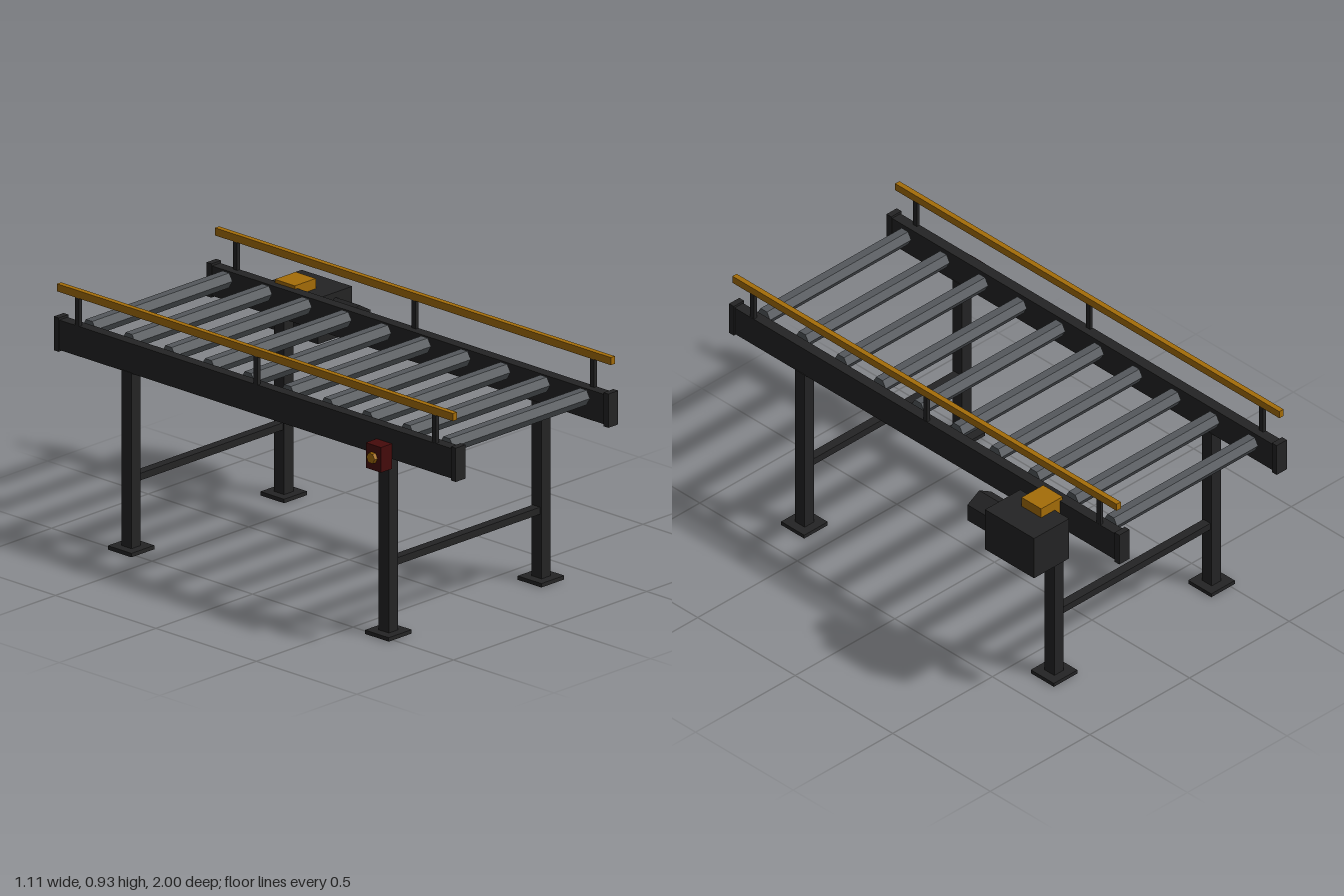
import * as THREE from 'three';

const mat = (name, color) => {
  const m = new THREE.MeshStandardMaterial({ color });
  m.name = name;
  return m;
};

export function createModel() {
  const frame = mat('black frame', 0x242425);
  const steel = mat('roller steel', 0x54585c);
  const gold = mat('safety yellow', 0xa56d08);
  const red = mat('dark red', 0x450b0b);

  const model = new THREE.Group();
  model.name = 'rollerConveyor';

  const add = (name, geometry, material, x, y, z, parent = model) => {
    const mesh = new THREE.Mesh(geometry, material);
    mesh.name = name;
    mesh.position.set(x, y, z);
    parent.add(mesh);
    return mesh;
  };

  // Box given by its min and max on each axis
  const box = (name, material, [x0, x1], [y0, y1], [z0, z1], parent) =>
    add(name, new THREE.BoxGeometry(x1 - x0, y1 - y0, z1 - z0), material,
      (x0 + x1) / 2, (y0 + y1) / 2, (z0 + z1) / 2, parent);

  const around = (c, size) => [c - size / 2, c + size / 2];

  // Flat-sided hexagonal bar along x or z
  const hexBar = (radius, length, axis) => {
    const g = new THREE.CylinderGeometry(radius, radius, length, 6);
    if (axis === 'x') g.rotateZ(Math.PI / 2);
    else g.rotateX(Math.PI / 2);
    const flat = g.toNonIndexed();
    flat.computeVertexNormals();
    return flat;
  };

  const leftX = 0.327, rightX = -0.463, legZ = 0.64;

  // The two side frames, with guard rails on the outer edges
  for (const [x, out, name] of [[leftX, 1, 'leftSide'], [rightX, -1, 'rightSide']]) {
    const side = new THREE.Group();
    side.name = name;
    model.add(side);

    box('sideRail', frame, around(x, 0.042), [0.682, 0.796], [-0.98, 0.98], side);
    for (const s of [-1, 1]) {
      box('railEndCap', frame, around(x, 0.051), [0.676, 0.805], around(s * 0.988, 0.024), side);
      box('leg', frame, around(x, 0.047), [0.01, 0.685], around(s * legZ, 0.05), side);
      box('footPlate', frame, around(x, 0.118), [0, 0.015], around(s * legZ, 0.118), side);
    }

    const guardX = x + out * 0.0135;
    for (const z of [-0.888, 0, 0.888]) {
      box('guardPost', frame, around(guardX, 0.014), [0.79, 0.91], around(z, 0.02), side);
    }
    box('guardRail', gold, around(guardX, 0.021), [0.904, 0.933], [-0.985, 0.985], side);
  }

  // Braces between the legs
  for (const z of [-legZ, legZ]) {
    box('crossBrace', frame, [rightX, leftX], [0.26, 0.287], around(z, 0.036));
  }

  // Ten hexagonal rollers
  const rollerGeometry = hexBar(0.0325, 0.708, 'x');
  for (let i = 0; i < 10; i++) {
    add('roller', rollerGeometry, steel, -0.067, 0.772, -0.889 + i * 0.1976);
  }

  // Drive unit on the left side
  const drive = new THREE.Group();
  drive.name = 'driveUnit';
  model.add(drive);
  box('gearCoupling', gold, [0.335, 0.443], [0.673, 0.809], around(-0.642, 0.1), drive);
  box('gearbox', frame, [0.375, 0.551], [0.595, 0.77], [-0.766, -0.515], drive);
  add('motor', hexBar(0.068, 0.14, 'z'), frame, 0.465, 0.683, -0.467, drive);

  // Stop switch on the right side
  const stop = new THREE.Group();
  stop.name = 'stopSwitch';
  model.add(stop);
  box('switchBox', red, [-0.54, -0.484], [0.644, 0.74], around(0.64, 0.076), stop);
  add('stopButton', hexBar(0.021, 0.02, 'x'), gold, -0.545, 0.693, 0.64, stop);

  return model;
}
